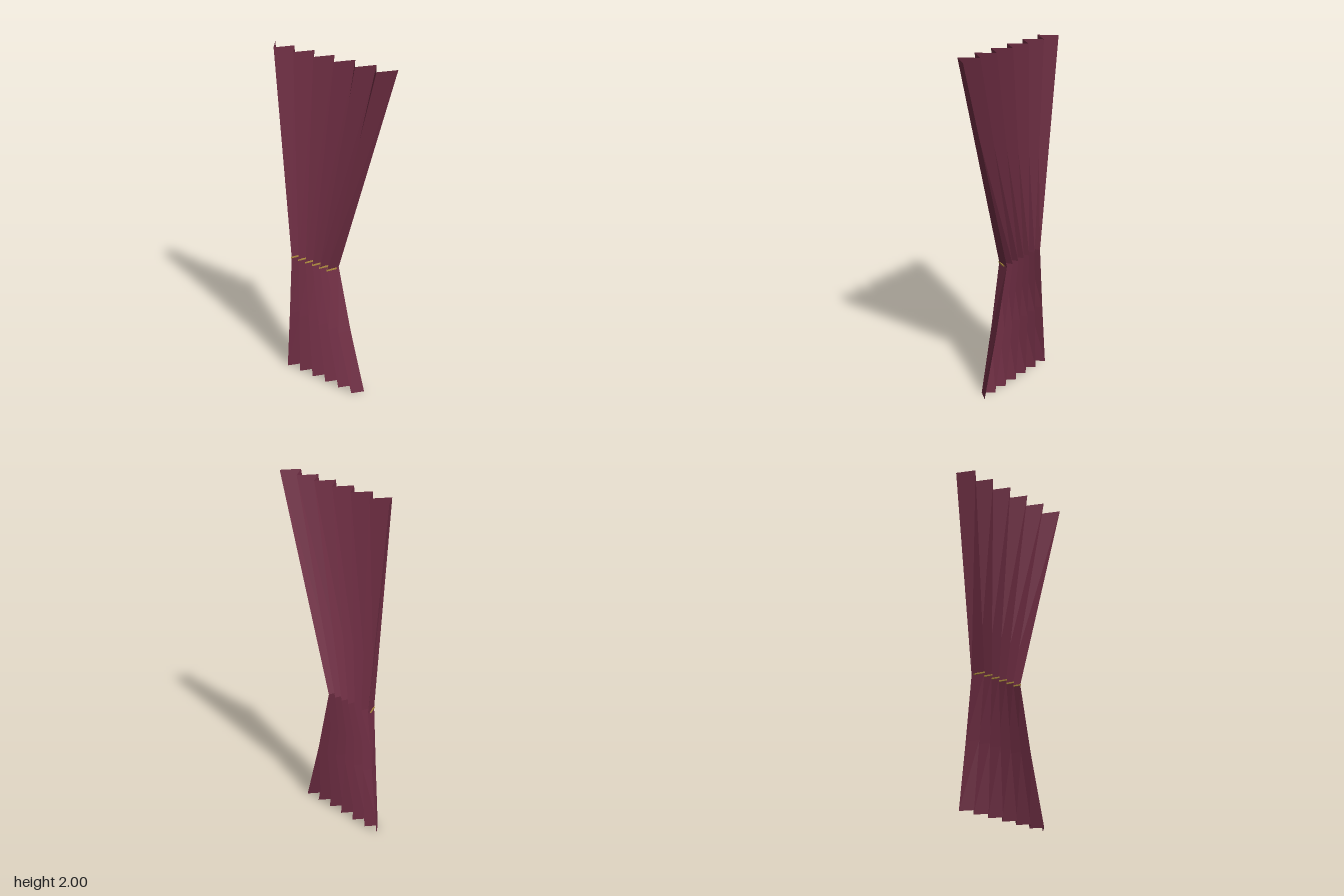
import * as THREE from 'three';

const FOLDS = 12;

// Sheet rows from hem to top: height, left edge, right edge, pleat half-depth
const ROWS = [
  [0, -0.34, 0.235, 0.031],
  [0.38, -0.302, 0.13, 0.034],
  [0.765, -0.267, 0.04, 0.038],
  [2, -0.4, 0.4, 0.047],
];

function pleatPoint([y, left, right, depth], i) {
  const x = left + ((right - left) * i) / FOLDS;
  return [x, y, i % 2 ? depth : -depth];
}

// Zigzag sheet with separate corners for each flat facet
function pleatedSheet() {
  const pos = [];
  for (let r = 0; r < ROWS.length - 1; r++) {
    for (let i = 0; i < FOLDS; i++) {
      const a = pleatPoint(ROWS[r], i);
      const b = pleatPoint(ROWS[r], i + 1);
      const c = pleatPoint(ROWS[r + 1], i + 1);
      const d = pleatPoint(ROWS[r + 1], i);
      pos.push(...a, ...b, ...c, ...a, ...c, ...d);
    }
  }
  const geo = new THREE.BufferGeometry();
  geo.setAttribute('position', new THREE.Float32BufferAttribute(pos, 3));
  geo.computeVertexNormals();
  return geo;
}

// Thin cord that follows the pleats, shallower than the folds at the back
function zigzagCord() {
  const [, left, right] = ROWS[2];
  const height = 0.008;
  const front = [];
  const back = [];
  for (let i = 0; i <= FOLDS; i++) {
    const x = left + ((right - left) * i) / FOLDS;
    const z = i % 2 ? 0.037 : -0.014;
    front.push(new THREE.Vector2(x, z + 0.006));
    back.unshift(new THREE.Vector2(x, z - 0.006));
  }
  const geo = new THREE.ExtrudeGeometry(new THREE.Shape([...front, ...back]), {
    depth: height,
    bevelEnabled: false,
  });
  geo.rotateX(Math.PI / 2);
  geo.translate(0, ROWS[2][0] + height / 2, 0);
  return geo;
}

export function createModel() {
  const wine = new THREE.MeshStandardMaterial({ color: 0x702e44, side: THREE.DoubleSide });
  wine.name = 'wine fabric';
  const gold = new THREE.MeshStandardMaterial({ color: 0xb08d3f });
  gold.name = 'gold cord';

  const group = new THREE.Group();
  group.name = 'curtain';

  const curtain = new THREE.Mesh(pleatedSheet(), wine);
  curtain.name = 'pleatedCurtain';
  const tie = new THREE.Mesh(zigzagCord(), gold);
  tie.name = 'tieback';
  group.add(curtain, tie);
  return group;
}
